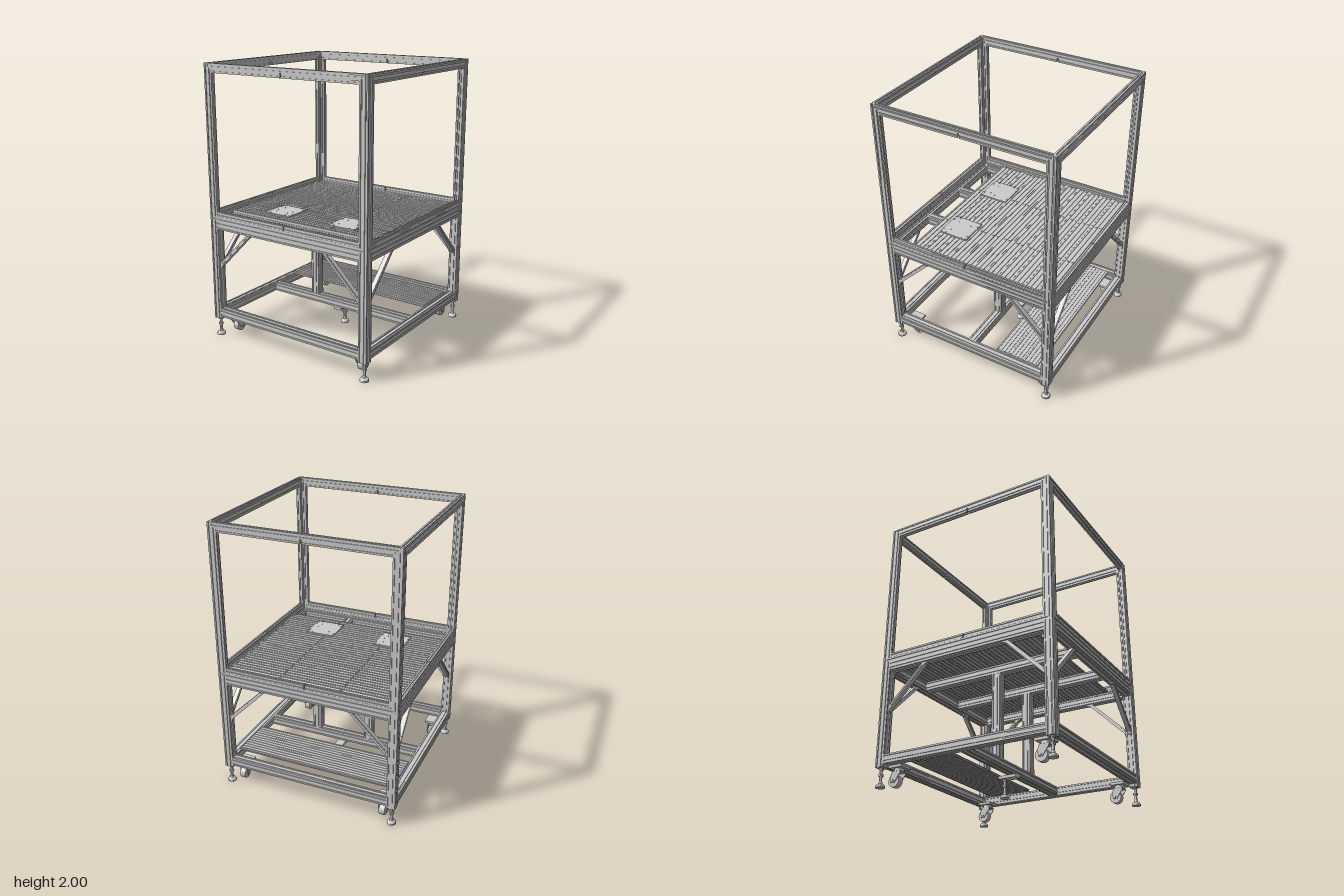
import * as THREE from 'three';

const grey = new THREE.MeshStandardMaterial({ color: 0xcccccc, flatShading: true });
const smooth = new THREE.MeshStandardMaterial({ color: 0xcccccc });

// Cross-section of a slotted aluminium profile, w by h, slots on each side
function profileShape(w, h, unit, slot, depth) {
  const pts = [];
  let x = -w / 2, y = -h / 2;
  const sides = [[1, 0, w], [0, 1, h], [-1, 0, w], [0, -1, h]];
  for (const [dx, dy, len] of sides) {
    const n = Math.round(len / unit);
    const at = (t, d) => pts.push(new THREE.Vector2(x + dx * t - dy * d, y + dy * t + dx * d));
    at(0, 0);
    for (let i = 0; i < n; i++) {
      const c = ((i + 0.5) * len) / n;
      at(c - slot / 2, 0); at(c - slot / 2, depth);
      at(c + slot / 2, depth); at(c + slot / 2, 0);
    }
    x += dx * len; y += dy * len;
  }
  return new THREE.Shape(pts);
}

export function createModel() {
  const model = new THREE.Group();

  const add = (name, geo, x, y, z, mat = grey, parent = model) => {
    const m = new THREE.Mesh(geo, mat);
    m.name = name;
    m.position.set(x, y, z);
    parent.add(m);
    return m;
  };
  const box = (name, w, h, d, x, y, z, parent) =>
    add(name, new THREE.BoxGeometry(w, h, d), x, y, z, grey, parent);
  const cyl = (name, r1, r2, h, x, y, z, parent, seg = 20) =>
    add(name, new THREE.CylinderGeometry(r1, r2, h, seg), x, y, z, smooth, parent);
  // Slotted bar along an axis; w is the horizontal size, h the other one
  const bar = (name, axis, len, w, h, x, y, z, unit = 0.0315, slot = 0.009, depth = 0.006) => {
    const geo = new THREE.ExtrudeGeometry(profileShape(w, h, unit, slot, depth), { depth: len, bevelEnabled: false });
    geo.translate(0, 0, -len / 2);
    if (axis === 'x') geo.rotateY(Math.PI / 2);
    if (axis === 'y') geo.rotateX(-Math.PI / 2);
    return add(name, geo, x, y, z);
  };

  const T = 0.063, S = 0.0325, E = 0.665;   // thick profile, slim profile, outer half size
  const c = E - T / 2, cs = E - S / 2;      // their centre lines
  const inner = 2 * (E - T), innerS = 2 * (E - S);

  // Corner posts: thick below the deck, slim above, with side strips
  for (const sx of [-1, 1]) for (const sz of [-1, 1]) {
    bar('lowerPost', 'y', 0.757, T, T, sx * c, 0.5115, sz * c);
    bar('upperPost', 'y', 1.11, S, S, sx * cs, 1.445, sz * cs);
    const strip = E - S * 1.5;
    bar('postStrip', 'y', 1.045, S, S, sx * strip, 1.445, sz * cs);
    bar('postStrip', 'y', 1.045, S, S, sx * cs, 1.445, sz * strip);
  }

  // Horizontal rails on all four sides
  for (const s of [-1, 1]) for (const axis of ['x', 'z']) {
    const rail = (name, len, size, y, off, along = 0) => axis === 'x'
      ? bar(name, 'x', len, size, size, along, y, s * off)
      : bar(name, 'z', len, size, size, s * off, y, along);
    rail('baseRail', inner, T, 0.185, c);
    rail('tableRail', inner, T, 0.8585, c);
    rail('upperBottomRail', innerS, S, 0.906, cs);
    rail('topRail', innerS, S, 2 - S / 2, cs);
    // Inner strips, split in the middle
    const half = E - 2 * S - 0.005;
    for (const e of [-1, 1]) {
      rail('lowerStrip', half, S, 0.939, cs, e * (0.005 + half / 2));
      rail('topStrip', half, S, 2 - S * 1.5, cs, e * (0.005 + half / 2));
    }
  }

  // Diagonal braces at the upper corners of the table frame
  for (let i = 0; i < 4; i++) {
    const side = new THREE.Group();
    side.name = 'sideBraces';
    side.rotation.y = (i * Math.PI) / 2;
    model.add(side);
    for (const s of [-1, 1]) {
      const x1 = 0.602, y1 = 0.55, x2 = 0.325, y2 = 0.827, t = 0.032;
      const outline = new THREE.Shape([
        [x1, y1 - 0.025], [x1, y1 + 0.018], [x2 + 0.014, y2], [x2 - 0.028, y2], [x2 - 0.028, y2 - 0.009],
        [x2 - 0.008, y2 - 0.012], [x1 - 0.012, y1 - 0.008], [x1 - 0.009, y1 - 0.025],
      ].map(([x, y]) => new THREE.Vector2(s * x, y)));
      const geo = new THREE.ExtrudeGeometry(outline, { depth: t, bevelEnabled: false });
      add('brace', geo, 0, 0, c - t / 2, grey, side);
      // Raised rib along the brace
      const rib = box('braceRib', 0.35, 0.009, t + 0.006, s * (x1 + x2) / 2, (y1 + y2) / 2, c, side);
      rib.rotation.z = -s * Math.PI / 4;
    }
  }

  // Middle base rail, inner posts and deck beams
  bar('middleBaseRail', 'x', inner, T, T, 0, 0.185, 0);
  for (const s of [-1, 1]) {
    bar('innerPost', 'y', 0.61, T, T, s * 0.2115, 0.522, 0);
    bar('deckBeam', 'z', inner, T, T, s * 0.2115, 0.8585, 0);
  }

  // Deck boards with pairs of screws
  for (let i = 0; i < 11; i++) {
    const z = -0.583 + i * 0.1;
    bar('deckBoard', 'x', 1.265, 0.099, 0.03, 0, 0.906, z, 0.0333, 0.01, 0.005);
    for (const x of [-0.618, -0.228, 0.228, 0.618]) for (const dz of [-0.0165, 0.0165])
      cyl('deckScrew', 0.007, 0.007, 0.005, x, 0.922, z + dz, model, 10);
  }

  // Mounting plates with bolts
  for (const sx of [-1, 1]) {
    const plate = new THREE.Group();
    plate.name = 'mountingPlate';
    plate.position.set(sx * 0.278, 0.925, 0.281);
    model.add(plate);
    box('plate', 0.219, 0.008, 0.222, 0, 0, 0, plate);
    for (const a of [-1, 1]) for (const b of [-1, 1]) {
      for (const [x, z] of [[0.102, 0.102], [0.067, 0.102], [0.102, 0.068]])
        cyl('plateBolt', 0.007, 0.007, 0.004, a * x, 0.005, b * z, plate, 10);
      cyl('plateStud', 0.004, 0.004, 0.003, a * 0.053, 0.005, b * 0.053, plate, 8);
    }
    for (const a of [-1, 1]) cyl('plateStud', 0.004, 0.004, 0.003, a * 0.068, 0.005, 0.01, plate, 8);
  }

  // Rear storage shelf
  for (let i = 0; i < 3; i++)
    bar('shelfBoard', 'x', 1.21, 0.111, 0.016, 0, 0.224, -0.489 + i * 0.1115, 0.028, 0.008, 0.004);

  // Levelling feet: corners and one in the middle
  const footProfile = [[0, 0], [0.032, 0], [0.032, 0.012], [0.027, 0.02], [0.014, 0.026], [0.012, 0.04],
    [0.01, 0.042], [0.01, 0.135], [0, 0.135]].map(([r, y]) => new THREE.Vector2(r, y));
  const foot = (x, z) => {
    const g = new THREE.Group();
    g.name = 'levellingFoot';
    g.position.set(x, 0, z);
    model.add(g);
    add('footStem', new THREE.LatheGeometry(footProfile, 20), 0, 0, 0, grey, g);
    add('footNut', new THREE.CylinderGeometry(0.018, 0.018, 0.014, 6), 0, 0.085, 0, grey, g);
    add('footTopNut', new THREE.CylinderGeometry(0.017, 0.017, 0.01, 6), 0, 0.127, 0, grey, g);
  };
  for (const sx of [-1, 1]) for (const sz of [-1, 1]) foot(sx * 0.635, sz * 0.635);
  foot(0, -0.068);
  box('middleFootPlate', 0.064, 0.02, 0.135, 0, 0.144, -0.034);

  // Swivel casters inside the corners
  for (const sx of [-1, 1]) for (const sz of [-1, 1]) {
    const g = new THREE.Group();
    g.name = 'caster';
    g.position.set(sx * 0.553, 0, sz * 0.55);
    model.add(g);
    box('casterPlate', 0.104, 0.018, 0.104, 0, 0.145, 0, g);
    cyl('casterSwivel', 0.032, 0.036, 0.02, 0, 0.126, 0, g);
    const wheelZ = -0.027;
    const fork = new THREE.Shape([[-0.034, 0.118], [0.034, 0.118], [0.03, 0.1], [wheelZ + 0.014, 0.042],
      [wheelZ - 0.014, 0.042], [-0.045, 0.085]].map(([z, y]) => new THREE.Vector2(-z, y)));
    const forkGeo = new THREE.ExtrudeGeometry(fork, { depth: 0.006, bevelEnabled: false }).rotateY(Math.PI / 2);
    for (const x of [-0.033, 0.027]) add('casterFork', forkGeo, x, 0, 0, grey, g);
    box('casterForkTop', 0.06, 0.008, 0.066, 0, 0.115, 0, g);
    cyl('casterWheel', 0.042, 0.042, 0.042, 0, 0.055, wheelZ, g, 28).rotation.z = Math.PI / 2;
    cyl('casterAxle', 0.009, 0.009, 0.074, 0, 0.055, wheelZ, g, 12).rotation.z = Math.PI / 2;
  }

  return model;
}
